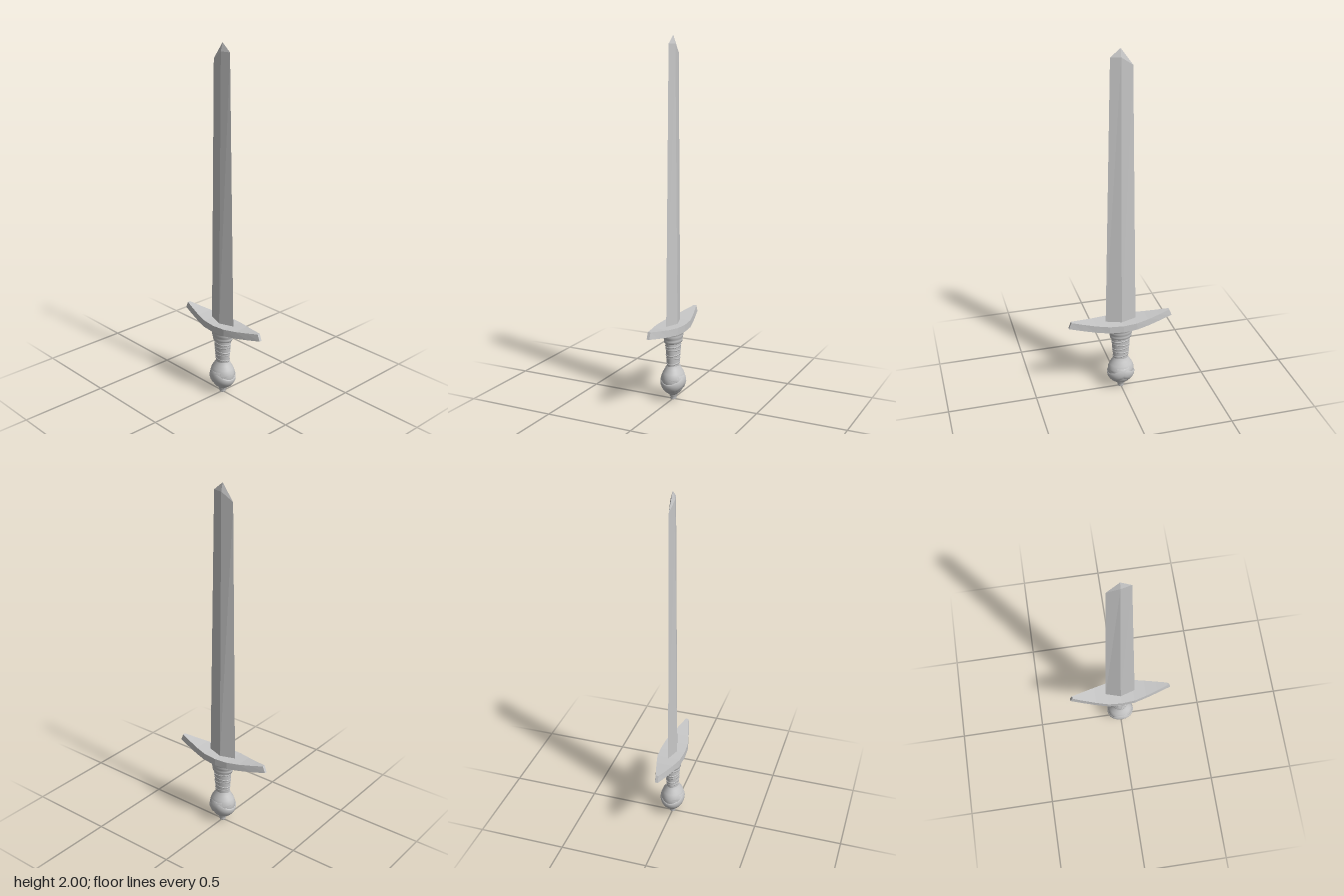
import * as THREE from 'three';

const steel = new THREE.MeshStandardMaterial({ color: 0xc8c8c8 });
steel.name = 'steel grey';

// Skin a list of four-cornered rings with flat faces and closed ends.
function loft(rings) {
  const pos = [];
  const quad = (a, b, c, d) => [a, b, c, a, c, d].forEach((p) => pos.push(...p));
  for (let i = 0; i < rings.length - 1; i++) {
    const r = rings[i], s = rings[i + 1];
    for (let k = 0; k < 4; k++) {
      const n = (k + 1) % 4;
      quad(r[k], r[n], s[n], s[k]);
    }
  }
  const first = rings[0], last = rings[rings.length - 1];
  quad(first[3], first[2], first[1], first[0]);
  quad(...last);
  const g = new THREE.BufferGeometry();
  g.setAttribute('position', new THREE.Float32BufferAttribute(pos, 3));
  g.computeVertexNormals();
  return g;
}

function lathe(points, segments = 32) {
  return new THREE.LatheGeometry(points.map(([r, y]) => new THREE.Vector2(r, y)), segments);
}

export function createModel() {
  const sword = new THREE.Group();
  sword.name = 'sword';
  const add = (name, geometry, parent = sword) => {
    const mesh = new THREE.Mesh(geometry, steel);
    mesh.name = name;
    parent.add(mesh);
    return mesh;
  };

  // Diamond-section blade with an uneven, chopped point
  add('blade', loft([
    [[0.088, 0.42, 0], [0, 0.42, -0.026], [-0.088, 0.42, 0], [0, 0.42, 0.026]],
    [[0.055, 1.955, 0], [0, 1.955, -0.012], [-0.066, 1.91, 0], [0, 1.955, 0.012]],
    [[0, 2, 0], [0, 2, 0], [0, 2, 0], [0, 2, 0]],
  ]));

  // Upswept crossguard: [bottom x, bottom y, top x, top y, half depth]
  const half = [
    [0.08, 0.401, 0.078, 0.441, 0.066],
    [0.155, 0.408, 0.15, 0.447, 0.048],
    [0.23, 0.419, 0.22, 0.457, 0.028],
    [0.301, 0.431, 0.286, 0.468, 0.008],
  ];
  const mirrored = half.map(([bx, by, tx, ty, d]) => [-bx, by, -tx, ty, d]).reverse();
  const stations = [...mirrored, [0, 0.398, 0, 0.438, 0.071], ...half];
  add('crossguard', loft(stations.map(([bx, by, tx, ty, d]) => [
    [bx, by, d], [bx, by, -d], [tx, ty, -d], [tx, ty, d],
  ])));

  // Oval handle: collar below the guard, then a waisted grip
  const handle = new THREE.Group();
  handle.name = 'handle';
  handle.scale.z = 0.76;
  sword.add(handle);
  add('grip', lathe([
    [0.043, 0.16], [0.044, 0.2], [0.047, 0.24], [0.051, 0.29], [0.054, 0.33], [0.054, 0.35],
  ]), handle);
  add('collar', lathe([
    [0.05, 0.328], [0.062, 0.334], [0.064, 0.348], [0.06, 0.354],
    [0.067, 0.36], [0.07, 0.376], [0.067, 0.381], [0.074, 0.386], [0.077, 0.402],
  ]), handle);

  // Slightly slanted wrapping ridges
  for (let i = 0; i < 5; i++) {
    const y = 0.215 + i * 0.025;
    const wrap = add('gripWrap', new THREE.TorusGeometry(0.043 + i * 0.002, 0.0045, 6, 32), handle);
    wrap.position.y = y;
    wrap.rotation.set(Math.PI / 2, (i % 2 ? 1 : -1) * 0.1, 0);
  }

  // Rounded pommel crossed by two broad straps, with a small end nut
  const pommel = new THREE.Group();
  pommel.name = 'pommel';
  pommel.position.y = 0.106;
  pommel.scale.z = 0.86;
  sword.add(pommel);
  add('pommelBulb', lathe([
    [0, -0.082], [0.022, -0.08], [0.05, -0.06], [0.067, -0.035], [0.076, 0],
    [0.075, 0.028], [0.066, 0.053], [0.051, 0.075], [0.043, 0.094],
  ]), pommel);
  for (const side of [-1, 1]) {
    const strap = add('pommelStrap', lathe([
      [0.067, -0.022], [0.077, -0.018], [0.08, 0], [0.08, 0.018], [0.073, 0.036], [0.066, 0.038],
    ]), pommel);
    strap.rotation.z = side * 0.55;
  }
  add('pommelNut', lathe([
    [0, 0], [0.016, 0], [0.018, 0.004], [0.016, 0.014], [0.022, 0.02], [0.024, 0.034],
  ], 12));

  return sword;
}
